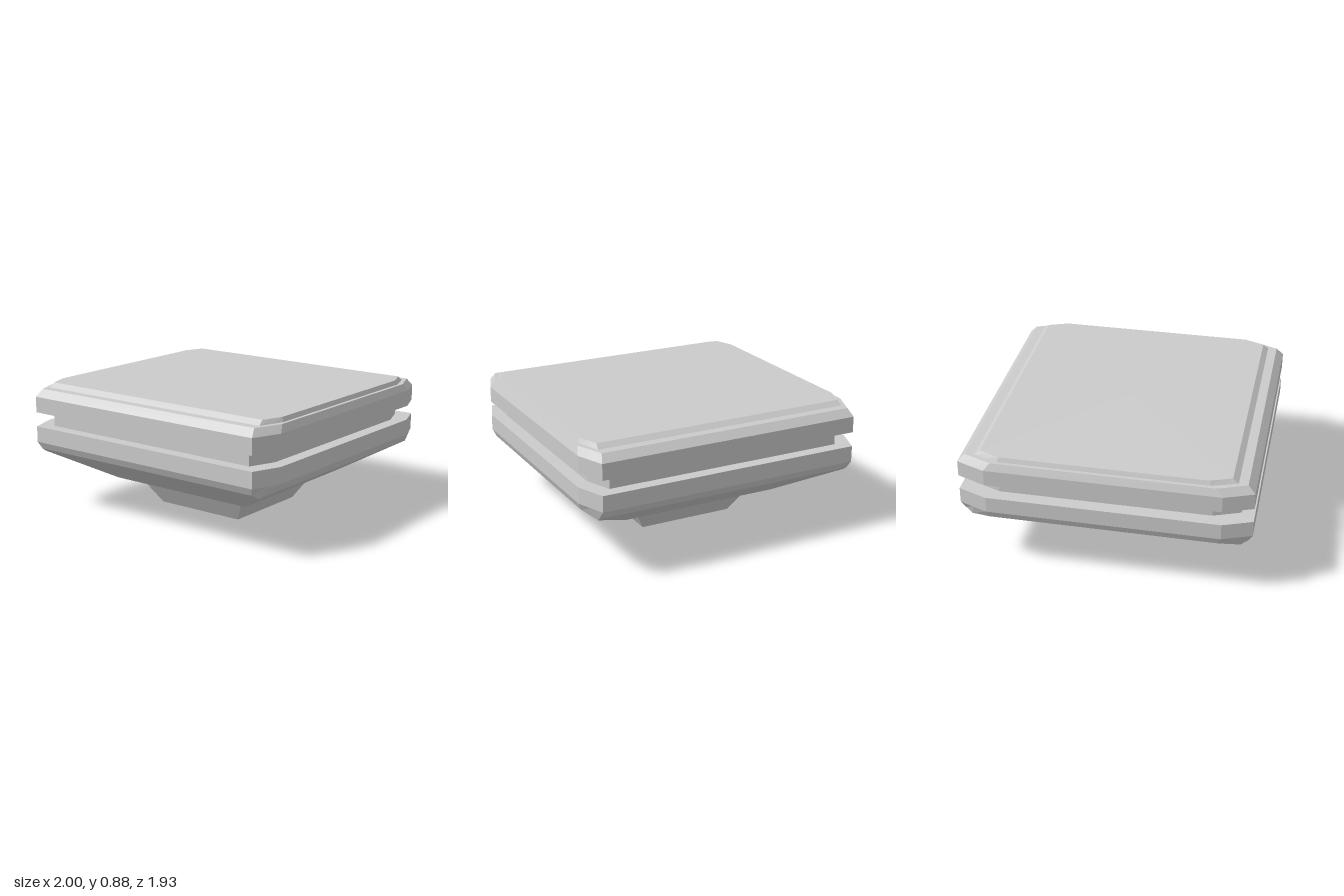
import * as THREE from 'three';

// Rectangle ring with cut corners: half sizes x, z; the cut runs from (x, cz) to (cx, z).
// corner = optional [x, y, z] of the middle point of each cut.
function ring(y, x, z, cx = x, cz = z, corner = [(x + cx) / 2, y, (z + cz) / 2]) {
  const quarter = [[x, y, cz], corner, [cx, y, z]];
  const points = [];
  for (const [sx, sz] of [[1, 1], [-1, 1], [-1, -1], [1, -1]]) {
    const q = sx * sz > 0 ? quarter : [...quarter].reverse();
    for (const p of q) points.push(new THREE.Vector3(p[0] * sx, p[1], p[2] * sz));
  }
  return points;
}

// Skin the rings from bottom to top, optionally closing the ends.
function loft(name, rings, capStart, capEnd) {
  const pos = [];
  const tri = (a, b, c) => {
    if (new THREE.Triangle(a, b, c).getArea() > 1e-7) {
      for (const p of [a, b, c]) pos.push(p.x, p.y, p.z);
    }
  };
  const n = rings[0].length;
  for (let r = 0; r < rings.length - 1; r++) {
    for (let i = 0; i < n; i++) {
      const j = (i + 1) % n;
      const lo = rings[r], hi = rings[r + 1];
      tri(lo[i], hi[i], lo[j]);
      tri(lo[j], hi[i], hi[j]);
    }
  }
  const cap = (points, up) => {
    const centre = new THREE.Vector3(0, points[0].y, 0);
    for (let i = 0; i < n; i++) {
      const a = points[i], b = points[(i + 1) % n];
      if (up) tri(centre, b, a);
      else tri(centre, a, b);
    }
  };
  if (capStart) cap(rings[0], false);
  if (capEnd) cap(rings[rings.length - 1], true);

  const geometry = new THREE.BufferGeometry();
  geometry.setAttribute('position', new THREE.Float32BufferAttribute(pos, 3));
  geometry.computeVertexNormals();
  const mesh = new THREE.Mesh(
    geometry,
    new THREE.MeshStandardMaterial({ color: 0xcccccc, flatShading: true })
  );
  mesh.name = name;
  return mesh;
}

export function createModel() {
  const model = new THREE.Group();
  model.name = 'pedestalSlab';

  // The cut corners of the lower slab dip to meet the ridges of the tapered underside
  const dipped = ring(0.43, 0.98, 0.94, 0.905, 0.75, [0.925, 0.4, 0.89]);

  model.add(
    // Flared foot with a square recess in its base
    loft('foot', [
      ring(0.09, 0.255, 0.247),
      ring(0, 0.255, 0.247),
      ring(0, 0.335, 0.325),
      ring(0.19, 0.45, 0.437),
    ], true, false),

    // Tapered underside
    loft('underside', [ring(0.19, 0.56, 0.545), dipped], true, false),

    // Lower slab, bevelled below
    loft('lowerSlab', [
      dipped,
      ring(0.48, 1, 0.965, 0.925, 0.77),
      ring(0.59, 1, 0.965, 0.925, 0.77),
    ], false, true),

    // Recessed band between the slabs
    loft('neck', [
      ring(0.59, 0.91, 0.88, 0.84, 0.7),
      ring(0.69, 0.91, 0.88, 0.84, 0.7),
    ], false, false),

    // Upper slab, bevelled above
    loft('upperSlab', [
      ring(0.69, 1, 0.965, 0.925, 0.77),
      ring(0.8, 1, 0.965, 0.925, 0.77),
      ring(0.85, 0.98, 0.917, 0.905, 0.73),
    ], true, true),

    // Thin raised top plate
    loft('topPlate', [
      ring(0.85, 0.957, 0.855, 0.9, 0.69),
      ring(0.88, 0.945, 0.818, 0.893, 0.68),
    ], false, true)
  );
  return model;
}
